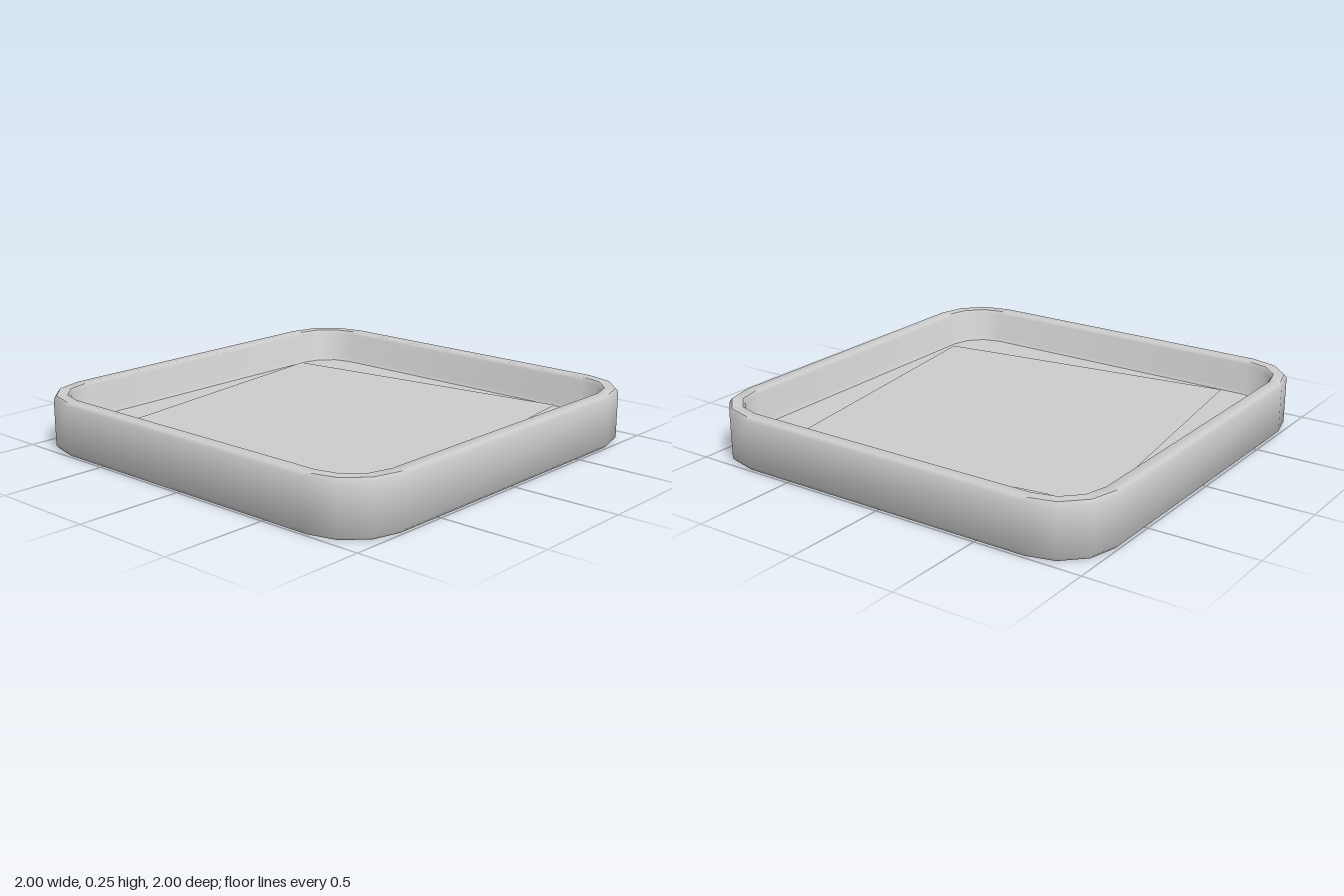
import * as THREE from 'three';
import { toCreasedNormals } from 'three/addons/utils/BufferGeometryUtils.js';

const CORNER = 0.73; // centre of every corner arc
const STEPS = 3;     // flat facets per corner

// Rounded-square loop [x, z] whose straight sides lie at distance `half`
function loop(half) {
  const r = half - CORNER, pts = [];
  for (let q = 0; q < 4; q++) {
    const mid = (q + 0.5) * Math.PI / 2;
    const cx = Math.sign(Math.cos(mid)) * CORNER, cz = Math.sign(Math.sin(mid)) * CORNER;
    for (let i = 0; i <= STEPS; i++) {
      const a = (q + i / STEPS) * Math.PI / 2;
      pts.push([cx + r * Math.cos(a), cz + r * Math.sin(a)]);
    }
  }
  return pts;
}

// Skin through stacked loops, profile = [half width, height]
function skin(profile) {
  const pos = [], idx = [], n = 4 * (STEPS + 1);
  for (const [half, y] of profile) for (const [x, z] of loop(half)) pos.push(x, y, z);
  for (let k = 0; k < profile.length - 1; k++) {
    for (let i = 0; i < n; i++) {
      const a = k * n + i, b = k * n + (i + 1) % n;
      idx.push(a, a + n, b, b, a + n, b + n);
    }
  }
  const g = new THREE.BufferGeometry();
  g.setAttribute('position', new THREE.Float32BufferAttribute(pos, 3));
  g.setIndex(idx);
  return toCreasedNormals(g, 0.9);
}

// Flat panel filling one loop, facing up or down
function panel(half, y, up) {
  const shape = new THREE.Shape(loop(half).map(([x, z]) => new THREE.Vector2(x, z)));
  const g = new THREE.ShapeGeometry(shape);
  g.rotateX(up ? -Math.PI / 2 : Math.PI / 2);
  return g.translate(0, y, 0);
}

export function createModel() {
  const group = new THREE.Group();
  const material = new THREE.MeshStandardMaterial({ color: 0xcccccc });
  const add = (name, geometry, mat = material) => {
    const mesh = new THREE.Mesh(geometry, mat);
    mesh.name = name;
    group.add(mesh);
    return mesh;
  };

  // Wall: bevelled foot, outside, bevelled rim, sloping inside, small fillet
  add('wall', skin([
    [0.985, 0], [1, 0.015], [1, 0.235], [0.988, 0.25],
    [0.937, 0.25], [0.925, 0.235], [0.915, 0.105], [0.903, 0.09],
  ]));
  add('floor', panel(0.903, 0.09, true));
  add('underside', panel(0.985, 0, false));

  // Thin square sheet lying slightly turned inside the tray
  const sheet = add('sheet', new THREE.PlaneGeometry(1.493, 1.493).rotateX(-Math.PI / 2),
    new THREE.MeshStandardMaterial({ color: 0xcccccc, side: THREE.DoubleSide }));
  sheet.position.y = 0.115;
  sheet.rotation.y = Math.atan2(0.2, 1.48);

  return group;
}
